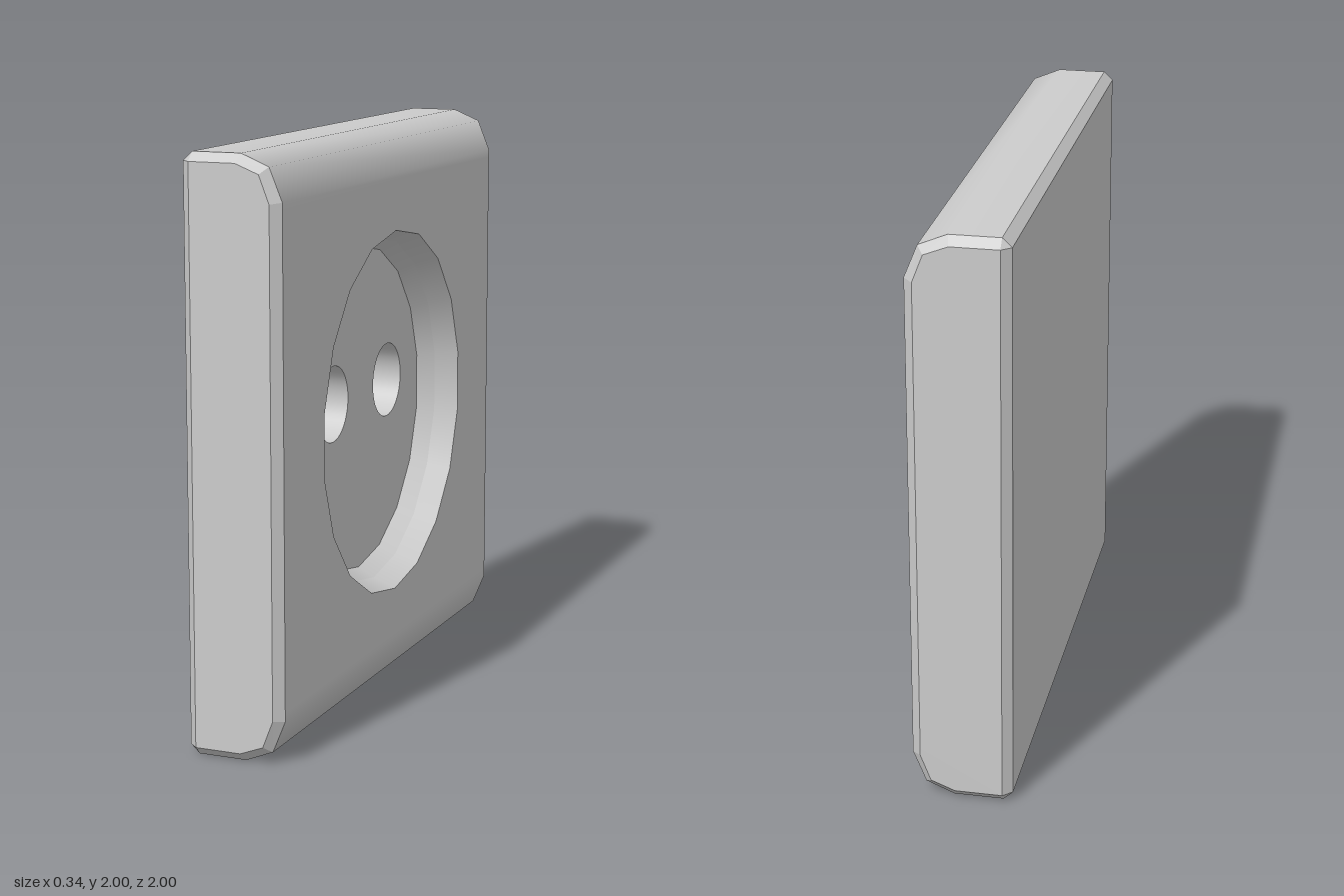
import * as THREE from 'three';
import { toCreasedNormals } from 'three/addons/utils/BufferGeometryUtils.js';

const FRONT = 0.172, FLOOR = 0.03, HOLE_BOTTOM = -0.165;
const CY = 1;             // recess centre height
const PINS = [[1.06, 0.235], [1.06, -0.27]]; // y, z of the pin holes
const PIN_R = 0.135;

export function createModel() {
  const group = new THREE.Group();
  const material = new THREE.MeshStandardMaterial({ color: 0xcccccc });
  const add = (name, geometry) => {
    const mesh = new THREE.Mesh(geometry, material);
    mesh.name = name;
    group.add(mesh);
    return mesh;
  };

  // Side profile (x, y) and its inset copy for the end caps; lower half, then mirrored
  const mirror = (half) => [...half, ...half.map(([x, y]) => [x, 2 - y]).reverse()];
  const outer = mirror([[-0.172, 0.03], [-0.14, 0], [0.03, 0], [0.127, 0.04], [FRONT, 0.15], [FRONT, 0.18]]);
  const inset = mirror([[-0.14, 0.03], [-0.14, 0.03], [0.022, 0.03], [0.104, 0.062], [0.14, 0.155], [0.14, 0.18]]);
  const n = outer.length;

  // Skin between two profiles, for the chosen segments
  const skin = (a, za, b, zb, segments) => {
    const pos = [];
    for (const i of segments) {
      const j = (i + 1) % n;
      const A = [...a[i], za], B = [...a[j], za], C = [...b[j], zb], D = [...b[i], zb];
      pos.push(...A, ...B, ...C, ...A, ...C, ...D);
    }
    return new THREE.BufferGeometry().setAttribute('position', new THREE.Float32BufferAttribute(pos, 3));
  };
  const flat = (g) => { g.computeVertexNormals(); return g; };
  const all = outer.map((_, i) => i);

  // Rounded top and bottom, flat back with bevels
  add('bottomRound', toCreasedNormals(skin(outer, -0.97, outer, 0.97, [1, 2, 3, 4]), 0.9));
  add('topRound', toCreasedNormals(skin(outer, -0.97, outer, 0.97, [6, 7, 8, 9]), 0.9));
  add('backPanel', flat(skin(outer, -0.97, outer, 0.97, [0, 10, 11])));

  // End bevels and end caps
  add('rightBevel', flat(skin(inset, -1, outer, -0.97, all)));
  add('leftBevel', flat(skin(outer, 0.97, inset, 1, all)));
  const capShape = new THREE.Shape(inset.slice(1, -1).map(([x, y]) => new THREE.Vector2(x, y)));
  add('leftCap', new THREE.ShapeGeometry(capShape)).position.z = 1;
  const rightCap = add('rightCap', new THREE.ShapeGeometry(capShape).rotateY(Math.PI).scale(1, 1, 1));
  rightCap.geometry = flat(mirrorCap(new THREE.ShapeGeometry(capShape)));
  rightCap.position.z = -1;

  // Points of a regular polygon with a corner at the top
  const ring = (cx, cy, r, sides) => Array.from({ length: sides }, (_, i) => {
    const t = (i / sides) * Math.PI * 2;
    return new THREE.Vector2(cx + r * Math.sin(t), cy + r * Math.cos(t));
  });
  // Flat sheet facing +x, drawn in (-z, y)
  const sheet = (name, points, holes, x) => {
    const shape = new THREE.Shape(points);
    holes.forEach((h) => shape.holes.push(new THREE.Path(h)));
    add(name, new THREE.ShapeGeometry(shape).rotateY(Math.PI / 2)).position.x = x;
  };
  // Inward-facing wall turned about the x axis
  const wall = (name, r0, x0, r1, x1, sides, y, z) => {
    const g = new THREE.LatheGeometry([new THREE.Vector2(r0, x0), new THREE.Vector2(r1, x1)], sides, Math.PI / 2);
    add(name, g.rotateZ(-Math.PI / 2)).position.set(0, y, z);
  };

  // Front plate with the round opening
  const plate = [[-0.97, 0.18], [0.97, 0.18], [0.97, 1.82], [-0.97, 1.82]].map((p) => new THREE.Vector2(...p));
  sheet('frontPlate', plate, [ring(0, CY, 0.65, 18)], FRONT);

  // Stepped recess walls and floor
  wall('recessWall', 0.65, FRONT, 0.618, 0.09, 18, CY, 0);
  wall('recessBevel', 0.618, 0.09, 0.585, FLOOR, 18, CY, 0);
  sheet('recessFloor', ring(0, CY, 0.585, 18), PINS.map(([y, z]) => ring(-z, y, PIN_R, 40)), FLOOR);

  // Pin holes
  PINS.forEach(([y, z]) => {
    wall('pinHole', PIN_R, FLOOR, PIN_R, HOLE_BOTTOM, 40, y, z);
    sheet('pinHoleBottom', ring(-z, y, PIN_R, 40), [], HOLE_BOTTOM);
  });
  return group;
}

// Turns a flat cap over so it faces -z
function mirrorCap(geometry) {
  geometry.index.array.reverse();
  return geometry;
}
